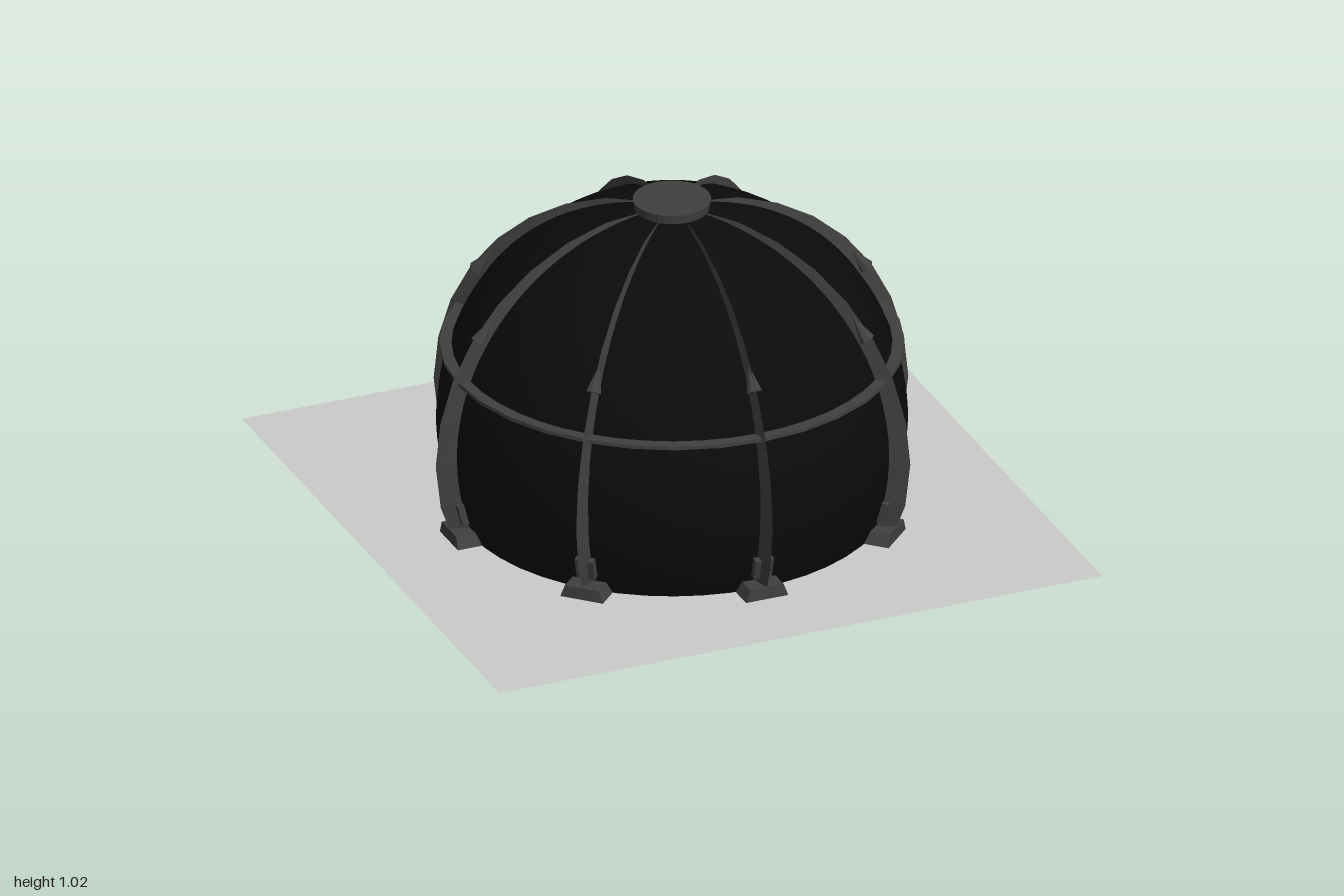
import * as THREE from 'three';

const R = 0.72, CY = 0.28; // dome radius and centre height

const material = (color, extra = {}) => new THREE.MeshStandardMaterial({ color, ...extra });

// Tapering rib with a triangular section, its ridge facing outward, bent over the dome
function ribGeometry() {
  const steps = 10, positions = [], index = [];
  for (let i = 0; i <= steps; i++) {
    const t = i / steps;
    const a = THREE.MathUtils.degToRad(-22.5 + 11.25 * i * 0.94);
    const half = 0.018 * (1 - t) + 0.002;
    const outer = R + (i < 3 ? 0.06 : 0.06 * Math.pow(1 - (i - 2) / (steps - 2), 0.7)) + 0.004;
    for (const [r, z] of [[R - 0.012, half], [outer, 0], [R - 0.012, -half]]) {
      positions.push(r * Math.cos(a), Math.max(0, CY + r * Math.sin(a)), z);
    }
  }
  for (let i = 0; i < steps; i++) {
    for (let j = 0; j < 3; j++) {
      const p = i * 3 + j, q = i * 3 + (j + 1) % 3;
      index.push(p, q, q + 3, p, q + 3, p + 3);
    }
  }
  const g = new THREE.BufferGeometry();
  g.setAttribute('position', new THREE.Float32BufferAttribute(positions, 3));
  g.setIndex(index);
  g.computeVertexNormals();
  return g;
}

// Foot block with sloping sides
function footGeometry() {
  const s = new THREE.Shape([
    new THREE.Vector2(-0.07, 0), new THREE.Vector2(0.07, 0),
    new THREE.Vector2(0.055, 0.04), new THREE.Vector2(-0.055, 0.04),
  ]);
  return new THREE.ExtrudeGeometry(s, { depth: 0.1, bevelEnabled: false }).rotateY(Math.PI / 2);
}

export function createModel() {
  const model = new THREE.Group();
  const black = material(0x0b0b0b);
  const metal = material(0x404040, { flatShading: true });

  const add = (parent, name, geometry, mat, x = 0, y = 0, z = 0) => {
    const mesh = new THREE.Mesh(geometry, mat);
    mesh.name = name;
    mesh.position.set(x, y, z);
    parent.add(mesh);
    return mesh;
  };

  // Square ground sheet
  add(model, 'groundSheet', new THREE.PlaneGeometry(2, 2).rotateX(-Math.PI / 2),
    material(0xcccccc, { side: THREE.DoubleSide }));

  // Dome cut off at the ground
  const cut = Math.PI / 2 + Math.asin(CY / R);
  add(model, 'dome', new THREE.SphereGeometry(R, 48, 32, 0, Math.PI * 2, 0, cut), black, 0, CY, 0);

  // Horizontal hoop
  const hoop = [[0.67, -0.006], [0.71, -0.006], [0.71, 0.006], [0.67, 0.006], [0.67, -0.006]]
    .map(([x, y]) => new THREE.Vector2(x, y));
  add(model, 'hoop', new THREE.LatheGeometry(hoop, 32), metal, 0, 0.53, 0);

  // Crown disc
  add(model, 'crownDisc', new THREE.CylinderGeometry(0.12, 0.115, 0.03, 32), metal, 0, 1.01, 0);

  // Eight ribs, each with a foot, a bracket and a spike
  const rib = ribGeometry(), foot = footGeometry();
  const bracket = new THREE.BoxGeometry(0.04, 0.07, 0.06);
  const spike = new THREE.ConeGeometry(0.025, 0.09, 8);
  for (let i = 0; i < 8; i++) {
    const arm = new THREE.Group();
    arm.name = 'ribAssembly' + (i + 1);
    arm.rotation.y = i * Math.PI / 4;
    add(arm, 'rib', rib, metal);
    add(arm, 'foot', foot, metal, 0.64, 0, 0);
    add(arm, 'bracket', bracket, metal, 0.695, 0.095, 0).rotation.z = -0.25;
    add(arm, 'spike', spike, metal, 0.617, 0.70, 0).rotation.z = THREE.MathUtils.degToRad(34);
    model.add(arm);
  }
  return model;
}
